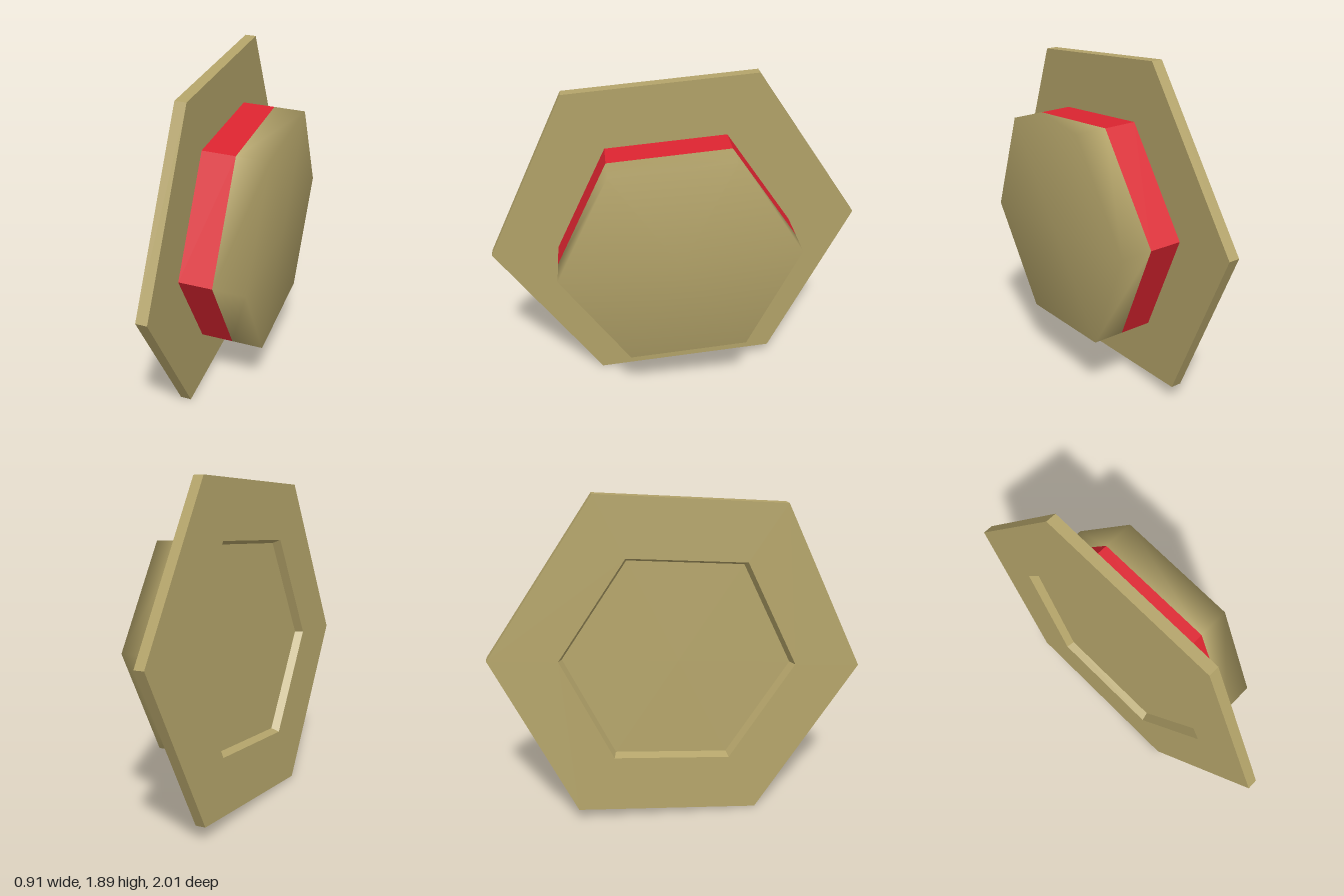
import * as THREE from 'three';

// A hexagonal hat lying on its side: everything is a six-sided lathe around one tilted axis.
const SIDES = 6;
const BRIM_R = 1.045;
const BRIM_H = 0.06;
const CROWN_R = 0.667;
const FLOOR_R = 0.645;
const FLOOR_H = 0.045;

export function createModel() {
  const felt = new THREE.MeshStandardMaterial({ color: 0xb3a369 });
  felt.name = 'tan felt';
  const ribbon = new THREE.MeshStandardMaterial({ color: 0xdc2430 });
  ribbon.name = 'red ribbon';

  const hat = new THREE.Group();
  hat.name = 'hat';

  // profile: [radius, height] pairs; faceted unless smooth is set
  const addRing = (name, material, profile, { parent = hat, smooth = false } = {}) => {
    const points = profile.map(([r, h]) => new THREE.Vector2(r, h));
    let geometry = new THREE.LatheGeometry(points, SIDES);
    if (!smooth) {
      geometry = geometry.toNonIndexed();
      geometry.computeVertexNormals();
    }
    const mesh = new THREE.Mesh(geometry, material);
    mesh.name = name;
    parent.add(mesh);
  };

  // Brim: a flat plate of even thickness
  const brim = new THREE.Group();
  brim.name = 'brim';
  hat.add(brim);
  addRing('brimUnderside', felt, [[CROWN_R, 0], [BRIM_R, 0]], { parent: brim });
  addRing('brimRim', felt, [[BRIM_R, 0], [BRIM_R, BRIM_H]], { parent: brim });
  addRing('brimTop', felt, [[BRIM_R, BRIM_H], [CROWN_R, BRIM_H]], { parent: brim });

  // Shallow recess on the underside
  addRing('recessWall', felt, [[FLOOR_R, FLOOR_H], [CROWN_R, 0]]);
  addRing('recessFloor', felt, [[0, FLOOR_H], [FLOOR_R, FLOOR_H]]);

  // Crown with its band, rounded by shading over the top edge
  addRing('hatBand', ribbon, [[CROWN_R, BRIM_H], [CROWN_R, 0.24]]);
  addRing('crownTop', felt, [[CROWN_R, 0.24], [CROWN_R, 0.415], [0, 0.415]], { smooth: true });

  // Tip the hat over so that the crown points to the side
  const axis = new THREE.Vector3(0.954, -0.046, 0.296).normalize();
  const corner = new THREE.Vector3(-0.31, -0.083, 1);
  const side = new THREE.Vector3().crossVectors(axis, corner).normalize();
  corner.crossVectors(side, axis);
  hat.quaternion.setFromRotationMatrix(new THREE.Matrix4().makeBasis(side, axis, corner));
  hat.position.set(-0.143, 0.94, -0.01);

  const model = new THREE.Group();
  model.name = 'hexagonalHat';
  model.add(hat);
  return model;
}
